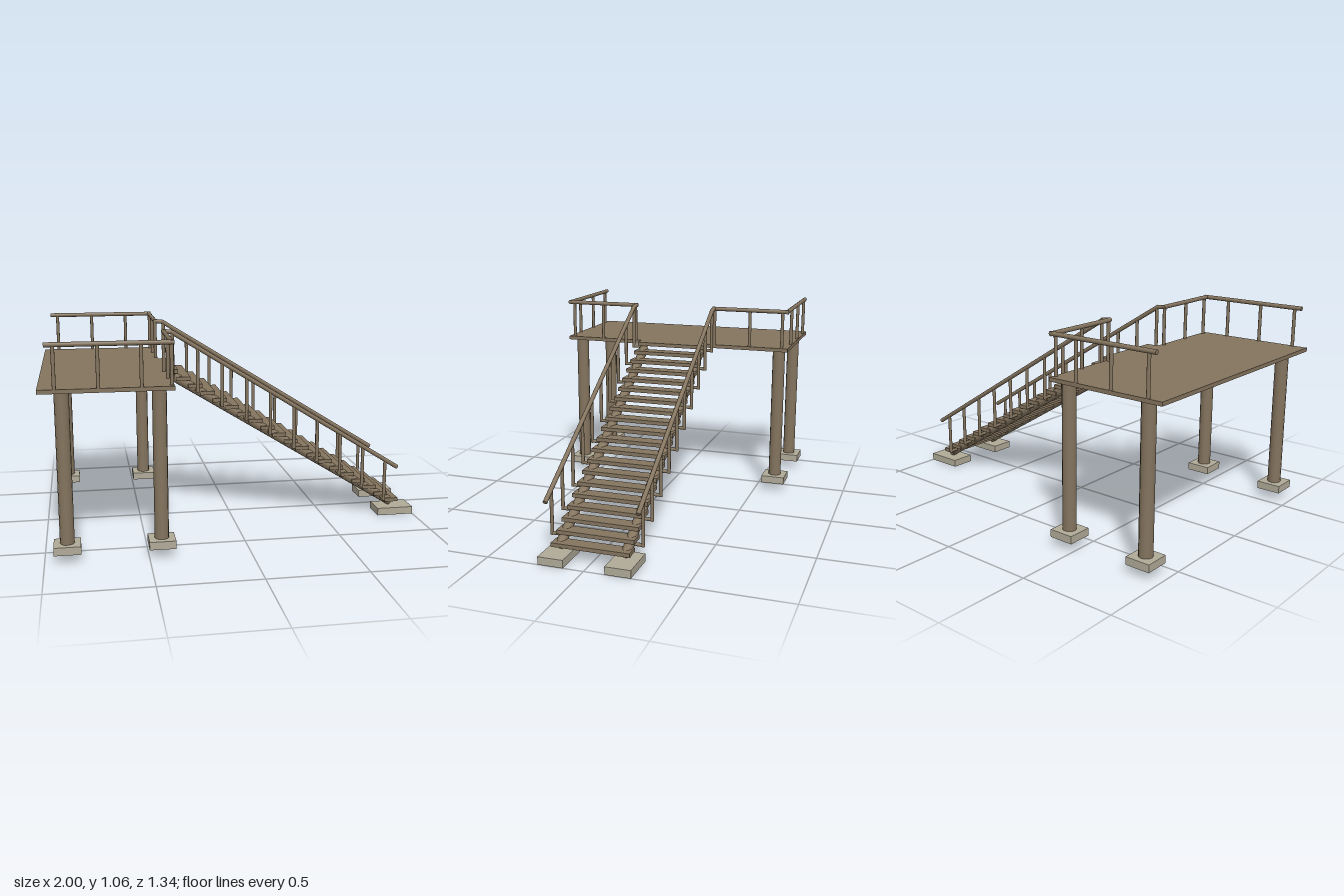
import * as THREE from 'three';

export function createModel() {
  const model = new THREE.Group();
  model.name = 'deckWithStairs';
  const wood = new THREE.MeshStandardMaterial({ color: 0x84745e });
  wood.name = 'wood';
  const concrete = new THREE.MeshStandardMaterial({ color: 0xb0aa98 });
  concrete.name = 'concrete';

  const box = (name, mat, w, h, d, x, y, z) => {
    const m = new THREE.Mesh(new THREE.BoxGeometry(w, h, d), mat);
    m.position.set(x, y, z);
    m.name = name;
    model.add(m);
  };
  // round timber running from a to b
  const log = (name, r, a, b) => {
    const from = new THREE.Vector3(...a), to = new THREE.Vector3(...b);
    const dir = to.clone().sub(from);
    const m = new THREE.Mesh(new THREE.CylinderGeometry(r, r, dir.length(), 12), wood);
    m.position.copy(from).add(to).multiplyScalar(0.5);
    m.quaternion.setFromUnitVectors(new THREE.Vector3(0, 1, 0), dir.normalize());
    m.name = name;
    model.add(m);
  };

  const railY = 1.05, deckY = 0.835, edgeX = -0.377, sideZ = 0.655, stairZ = 0.235;
  const railR = 0.0115, postR = 0.009;
  const run = 0.0645, rise = 0.04;

  // platform
  box('platform', wood, 0.635, 0.02, 1.33, -0.6825, deckY, 0);

  // treads, the top one level with the platform
  for (let i = 0; i < 20; i++) {
    box('tread', wood, 0.075, 0.02, 0.4, 0.8875 - i * run, 0.075 + i * rise, 0);
  }

  for (const s of [1, -1]) {
    // piers on footings
    for (const x of [-0.89, -0.435]) {
      log('pier', 0.035, [x, 0.08, s * 0.605], [x, 0.83, s * 0.605]);
      box('pierFooting', concrete, 0.13, 0.04, 0.13, x, 0.065, s * 0.605);
    }

    // platform railing: side run, then front run to the stairs
    log('sideRail', railR, [-0.96, railY, s * sideZ], [edgeX + 0.01, railY, s * sideZ]);
    log('edgeRail', railR, [edgeX, railY, s * (sideZ + 0.008)], [edgeX, railY, s * (stairZ - 0.008)]);
    for (const x of [-0.92, -0.72, -0.52]) {
      log('sidePost', postR, [x, deckY, s * sideZ], [x, railY, s * sideZ]);
    }
    for (const z of [0.63, 0.445, 0.24]) {
      log('edgePost', postR, [edgeX, deckY, s * z], [edgeX, railY, s * z]);
    }

    // stair stringer and its footing
    log('stringer', 0.025, [-0.322, 0.806, s * 0.168], [0.89, 0.06, s * 0.168]);
    box('stairFooting', concrete, 0.2, 0.04, 0.13, 0.9, 0.02, s * 0.17);

    // stair handrail
    const topX = -0.335, endX = 0.9, topY = 1.045, endY = 0.275;
    log('railLink', railR, [edgeX, railY, s * stairZ], [topX, topY, s * stairZ]);
    log('handrail', railR, [topX - 0.005, topY + 0.003, s * stairZ], [endX, endY, s * stairZ]);

    // a post on a short cross log below every second tread
    for (let i = 0; i < 10; i++) {
      const x = 0.83 - i * 2 * run, y = 0.095 + i * 2 * rise;
      const top = topY + (endY - topY) * (x - topX) / (endX - topX);
      log('stairPost', postR, [x, y - 0.008, s * stairZ], [x, top, s * stairZ]);
      log('postBracket', postR, [x, y, s * 0.155], [x, y, s * stairZ]);
    }
  }
  return model;
}
